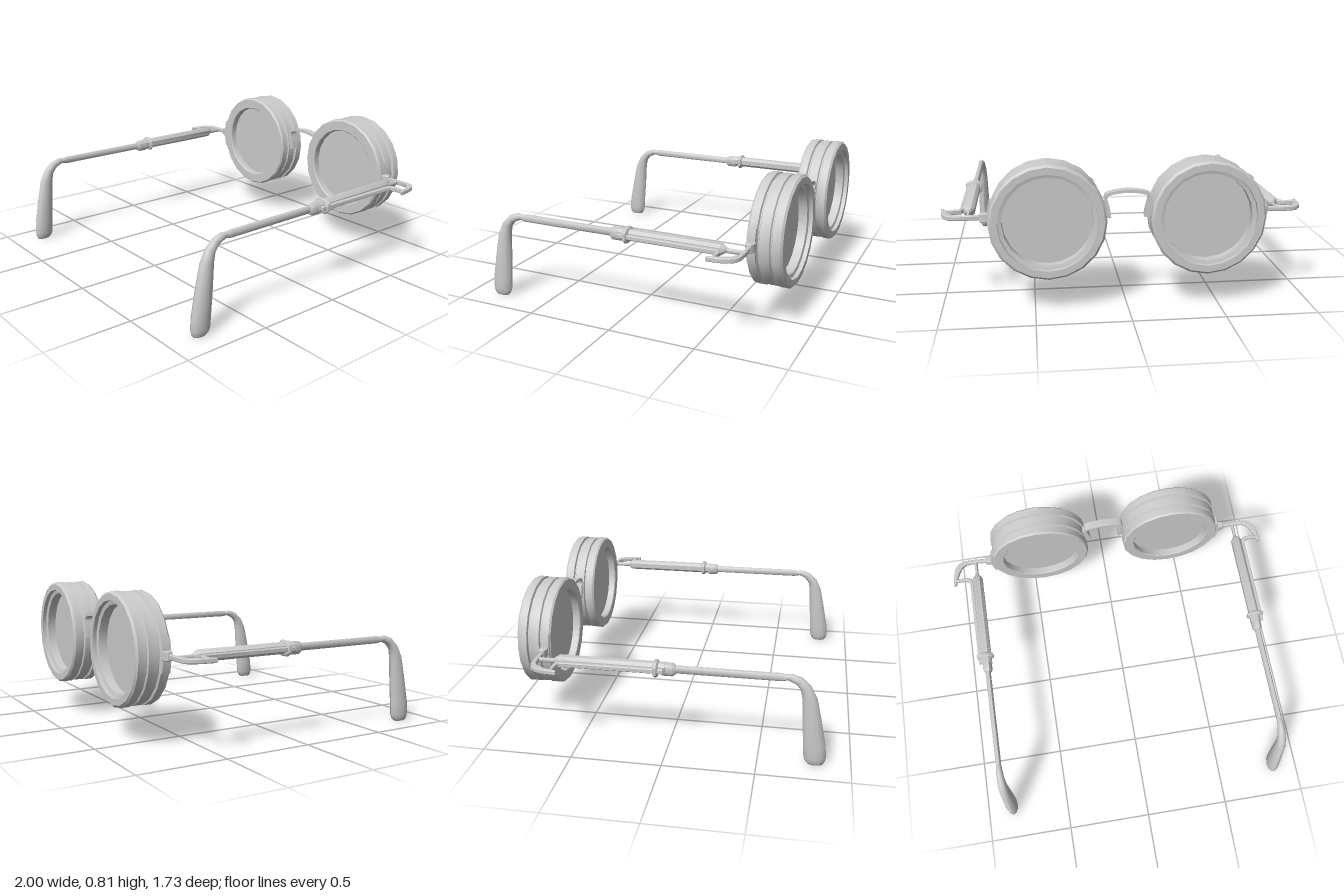
import * as THREE from 'three';
import { mergeVertices, toCreasedNormals } from 'three/addons/utils/BufferGeometryUtils.js';

const material = new THREE.MeshStandardMaterial({ color: 0xcccccc });
const v2 = (p) => new THREE.Vector2(p[0], p[1]);
const v3 = (p) => new THREE.Vector3(p[0], p[1], p[2]);

// Solid skin through rings that all have the same number of points
function loft(rings) {
  const n = rings[0].length, pos = rings.flat(2), idx = [];
  for (let i = 0; i < rings.length - 1; i++) {
    for (let j = 0; j < n; j++) {
      const a = i * n + j, b = i * n + (j + 1) % n;
      idx.push(a, b, a + n, b, b + n, a + n);
    }
  }
  const last = (rings.length - 1) * n;
  for (let j = 1; j < n - 1; j++) idx.push(0, j + 1, j, last, last + j, last + j + 1);
  const g = new THREE.BufferGeometry();
  g.setAttribute('position', new THREE.Float32BufferAttribute(pos, 3));
  g.setIndex(idx);
  return toCreasedNormals(g, 0.7);
}

// Bar along z with chamfered corners; stations are [z, halfWidth, halfHeight]
function bar(stations, x, y) {
  const corners = [[1, -0.5], [1, 0.5], [0.5, 1], [-0.5, 1], [-1, 0.5], [-1, -0.5], [-0.5, -1], [0.5, -1]];
  const rings = stations.map(([z, w, h]) => corners.map(([a, b]) => [x + a * w, y + b * h, z]));
  return loft(rings);
}

// Flat outline in (x, z), given thickness around height y
function plate(points, y, thickness) {
  const bevel = 0.004;
  const g = new THREE.ExtrudeGeometry(new THREE.Shape(points.map(v2)), {
    depth: thickness - 2 * bevel, bevelThickness: bevel, bevelSize: bevel, bevelOffset: -bevel, bevelSegments: 1,
  });
  g.rotateX(Math.PI / 2);
  g.translate(0, y + thickness / 2 - bevel, 0);
  return toCreasedNormals(g, 0.6);
}

// Curved strip hugging the rim of a lens between two angles
function rimTab(r0, r1, a0, a1, z0, z1) {
  const s = new THREE.Shape();
  s.absarc(0.425, 0.5, r1, a0, a1, false);
  s.absarc(0.425, 0.5, r0, a1, a0, true);
  const g = new THREE.ExtrudeGeometry(s, { depth: z1 - z0, bevelEnabled: false, curveSegments: 6 });
  g.translate(0, 0, z0);
  return toCreasedNormals(g, 0.6);
}

// Copy reflected in x, with corners swapped so faces stay outward
function mirrored(geometry) {
  const g = geometry.index ? geometry.toNonIndexed() : geometry.clone();
  for (const name of ['position', 'normal']) {
    const a = g.attributes[name], old = a.clone();
    for (let i = 0; i < a.count; i++) {
      const k = i + [0, 1, -1][i % 3];
      a.setXYZ(i, -old.getX(k), old.getY(k), old.getZ(k));
    }
  }
  return g;
}

export function createModel() {
  const model = new THREE.Group();
  model.name = 'glasses';
  const add = (name, geometry) => {
    const m = new THREE.Mesh(geometry, material);
    m.name = name;
    model.add(m);
  };
  const addPair = (name, geometry) => {
    add(name + 'Left', geometry);
    add(name + 'Right', mirrored(geometry));
  };

  // Rim: three stacked rings parted by grooves, with a stepped inner edge
  const profile = [
    [0.24, -0.79], [0.24, -0.835], [0.262, -0.84], [0.262, -0.863],
    [0.298, -0.863], [0.31, -0.852], [0.31, -0.808], [0.296, -0.803],
    [0.296, -0.797], [0.307, -0.792], [0.307, -0.738], [0.296, -0.733],
    [0.296, -0.727], [0.31, -0.722], [0.31, -0.68], [0.302, -0.67],
    [0.245, -0.67], [0.24, -0.675], [0.24, -0.79],
  ].map(v2);
  const rim = new THREE.LatheGeometry(profile, 20);
  rim.rotateX(Math.PI / 2);
  rim.translate(0.425, 0.5, 0);
  rim.deleteAttribute('normal');
  rim.deleteAttribute('uv');
  addPair('rim', toCreasedNormals(mergeVertices(rim), 0.5));

  // Lens
  const lens = new THREE.CylinderGeometry(0.242, 0.242, 0.07, 20);
  lens.rotateX(Math.PI / 2);
  lens.translate(0.425, 0.5, -0.75);
  addPair('lens', lens);

  // Bridge: thin strip arched over the nose, its ends lying against the rims
  const half = [[0.097, 0.5], [0.104, 0.55], [0.117, 0.602], [0.113, 0.622], [0.096, 0.631], [0.05, 0.64]];
  const line = [...half.map(([x, y]) => [-x, y, 0]), [0, 0.644, 0], ...half.reverse().map(([x, y]) => [x, y, 0])];
  const curve = new THREE.CatmullRomCurve3(line.map(v3));
  const strip = [];
  for (let i = 0; i <= 40; i++) {
    const p = curve.getPoint(i / 40), t = curve.getTangent(i / 40);
    const nx = -t.y * 0.008, ny = t.x * 0.008;
    strip.push([
      [p.x + nx, p.y + ny, -0.743], [p.x - nx, p.y - ny, -0.743],
      [p.x - nx, p.y - ny, -0.793], [p.x + nx, p.y + ny, -0.793],
    ]);
  }
  add('bridge', loft(strip));
  addPair('bridgeTab', rimTab(0.3, 0.325, Math.PI - 0.33, Math.PI, -0.79, -0.746));

  // End piece: rim tab, block and outward hook
  addPair('endTab', rimTab(0.3, 0.32, -0.3, 0.3, -0.722, -0.675));
  addPair('endBlock', plate([[0.73, -0.725], [0.765, -0.725], [0.785, -0.715], [0.785, -0.69], [0.765, -0.68], [0.73, -0.68]], 0.5, 0.05));
  addPair('hook', plate([
    [0.77, -0.712], [0.86, -0.718], [0.92, -0.716], [0.955, -0.703], [0.978, -0.672], [0.99, -0.63],
    [0.998, -0.555], [0.982, -0.555], [0.972, -0.595], [0.956, -0.637], [0.935, -0.672], [0.905, -0.692],
    [0.86, -0.694], [0.77, -0.692],
  ], 0.5, 0.026));

  // Link: springs back from the hook and runs along the sleeve
  addPair('link', plate([
    [0.985, -0.578], [0.93, -0.578], [0.905, -0.572], [0.896, -0.555], [0.894, -0.005],
    [0.872, -0.005], [0.874, -0.56], [0.884, -0.588], [0.91, -0.598], [0.985, -0.595],
  ], 0.5, 0.026));

  // Temple arm: pin, sleeve, collars and rod
  const x = 0.845;
  addPair('pin', bar([[-0.705, 0.009, 0.012], [-0.57, 0.009, 0.012]], x, 0.5));
  addPair('sleeve', bar([[-0.61, 0.01, 0.012], [-0.58, 0.03, 0.03], [0, 0.03, 0.03]], x, 0.503));
  addPair('sleeveEnd', bar([[-0.015, 0.026, 0.034], [0.04, 0.026, 0.034], [0.055, 0.018, 0.026]], x, 0.498));
  addPair('collar', bar([[-0.062, 0.042, 0.036], [-0.056, 0.05, 0.042], [-0.042, 0.05, 0.042], [-0.036, 0.042, 0.036]], x + 0.006, 0.502));
  addPair('rod', bar([[0.04, 0.015, 0.02], [0.61, 0.015, 0.02], [0.64, 0.013, 0.014]], x, 0.5));

  // Ear tip: stations are [outer z, outer y, inner z, inner y, halfWidth]
  const tip = [
    [0.615, 0.513, 0.615, 0.487, 0.012], [0.665, 0.522, 0.645, 0.485, 0.018],
    [0.72, 0.502, 0.685, 0.467, 0.022], [0.768, 0.455, 0.712, 0.435, 0.026],
    [0.802, 0.385, 0.722, 0.385, 0.03], [0.83, 0.26, 0.73, 0.25, 0.034],
    [0.86, 0.11, 0.742, 0.1, 0.036], [0.865, 0.04, 0.746, 0.04, 0.034],
    [0.86, 0.015, 0.755, 0.015, 0.03], [0.85, 0, 0.77, 0, 0.022],
  ];
  const tipRings = tip.map(([z1, y1, z0, y0, w]) => {
    const ring = [];
    for (let i = 0; i < 12; i++) {
      const a = i / 12 * Math.PI * 2, t = 0.5 + 0.5 * Math.sin(a);
      ring.push([x + w * Math.cos(a), y0 + (y1 - y0) * t, z0 + (z1 - z0) * t]);
    }
    return ring;
  });
  addPair('earTip', loft(tipRings));
  return model;
}
